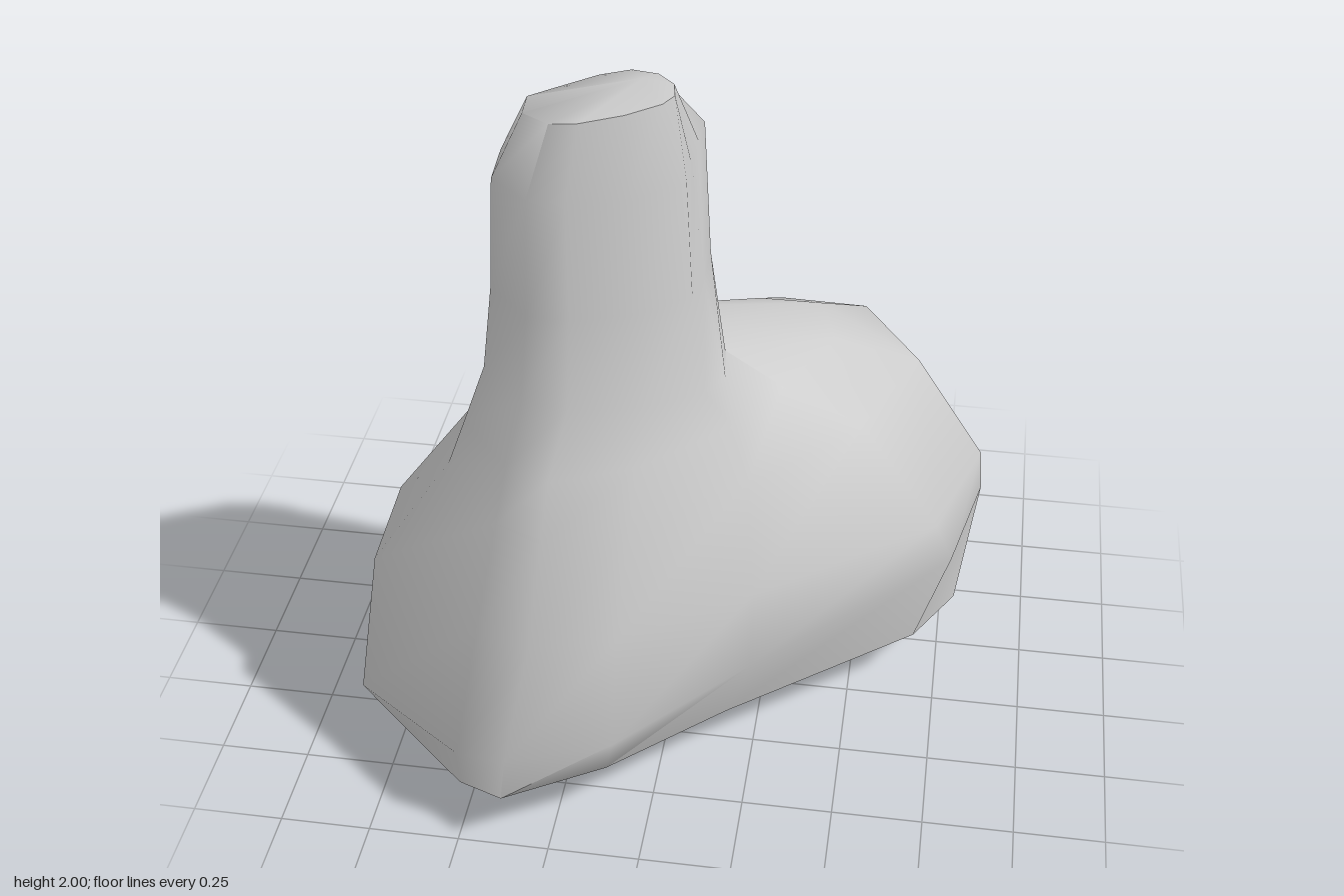
import * as THREE from 'three';
import { toCreasedNormals } from 'three/addons/utils/BufferGeometryUtils.js';

// Each section: level y, tilt along x, tilt along z, then 12 x,z corners running
// counter-clockwise from the left-back corner (seen from above).
const foot = [0.1, 0.12, 0.17,
  -0.6, 0.02, -0.74, 0.42, -0.5, 0.69, -0.37, 0.76, -0.11, 0.61, 0.18, 0.33,
  0.68, -0.08, 0.79, -0.3, 0.43, -0.7, 0.22, -0.7, -0.1, -0.52, -0.42, -0.24];
const belly = [0.36, 0.17, 0,
  -0.84, 0.03, -0.84, 0.42, -0.5, 0.7, -0.36, 0.74, -0.08, 0.68, 0.25, 0.38,
  0.77, -0.05, 0.84, -0.38, 0.45, -0.75, 0.22, -0.76, -0.12, -0.57, -0.47, -0.29];
const waist = [0.63, 0, 0,
  -0.8, 0.03, -0.79, 0.35, -0.45, 0.6, -0.3, 0.65, -0.08, 0.59, 0.25, 0.35,
  0.72, -0.02, 0.83, -0.38, 0.46, -0.74, 0.22, -0.74, -0.15, -0.54, -0.48, -0.26];
const shoulder = [0.93, 0, 0,
  -0.58, 0.03, -0.58, 0.28, -0.4, 0.52, -0.27, 0.58, -0.06, 0.48, 0.22, 0.25,
  0.5, -0.05, 0.63, -0.39, 0.46, -0.65, 0.21, -0.66, -0.15, -0.41, -0.4, -0.18];
const crest = [1.07, 0, 0,
  -0.53, 0.04, -0.53, 0.28, -0.38, 0.46, -0.26, 0.51, -0.05, 0.42, 0.17, 0.2,
  0.28, 0, 0.4, -0.25, 0.34, -0.43, 0.17, -0.43, -0.13, -0.3, -0.37, -0.12];
const collar = [1.17, -0.08, 0.13,
  -0.48, 0.06, -0.47, 0.27, -0.34, 0.42, -0.22, 0.43, -0.04, 0.35, 0.1, 0.23,
  0.14, 0.13, 0.12, -0.02, 0.04, -0.16, -0.08, -0.23, -0.21, -0.18, -0.37, -0.04];

// Upper column: y, tilt along x, the x and z limits the collar outline is
// fitted into, how far it fills the right back corner, and its shift to the front
const column = [
  [1.47, 0, -0.475, 0.08, -0.21, 0.365, 0, 0.07],
  [1.78, 0, -0.46, 0.045, -0.14, 0.33, 0.35, 0.08],
  [1.99, 0.12, -0.36, 0.01, -0.01, 0.27, 0, 0],
];

const SIDES = 12;
const { mapLinear, clamp } = THREE.MathUtils;

function ring([y, tiltX, tiltZ, ...xz]) {
  return Array.from({ length: SIDES }, (_, i) => {
    const x = xz[2 * i], z = xz[2 * i + 1];
    return new THREE.Vector3(x, y + tiltX * x + tiltZ * z, z);
  });
}

function fitRing(base, [y, tiltX, x0, x1, z0, z1, fill, shift]) {
  const { min, max } = new THREE.Box3().setFromPoints(base);
  return base.map((p) => {
    const u = mapLinear(p.x, min.x, max.x, -1, 1);
    const v = mapLinear(p.z, min.z, max.z, -1, 1);
    const push = fill * Math.max(0, (u - v) / 2);
    const x = mapLinear(clamp(u + push + shift, -1, 1), -1, 1, x0, x1);
    const z = mapLinear(clamp(v - push + shift, -1, 1), -1, 1, z0, z1);
    return new THREE.Vector3(x, y + tiltX * x, z);
  });
}

// Skin stacked rings and close both ends with fans
function loft(rings, bottom, top) {
  const points = [...rings.flat(), bottom, top];
  const b = points.length - 2, t = points.length - 1;
  const last = (rings.length - 1) * SIDES;
  const index = [];
  for (let i = 0; i < SIDES; i++) {
    const j = (i + 1) % SIDES;
    for (let r = 0; r < last; r += SIDES) {
      index.push(r + i, r + j, r + SIDES + j, r + i, r + SIDES + j, r + SIDES + i);
    }
    index.push(j, i, b, last + i, last + j, t);
  }
  const geometry = new THREE.BufferGeometry().setFromPoints(points);
  geometry.setIndex(index);
  return toCreasedNormals(geometry, 1);
}

export function createModel() {
  const group = new THREE.Group();
  group.name = 'rock';

  const body = [foot, belly, waist, shoulder, crest, collar].map(ring);
  const neck = column.map((level) => fitRing(body[5], level));

  const stone = new THREE.Mesh(
    loft([...body, ...neck],
      new THREE.Vector3(0, 0.1, 0), new THREE.Vector3(-0.08, 2, 0.08)),
    new THREE.MeshStandardMaterial({ color: 0xcccccc }));
  stone.name = 'stone';
  group.add(stone);
  return group;
}
